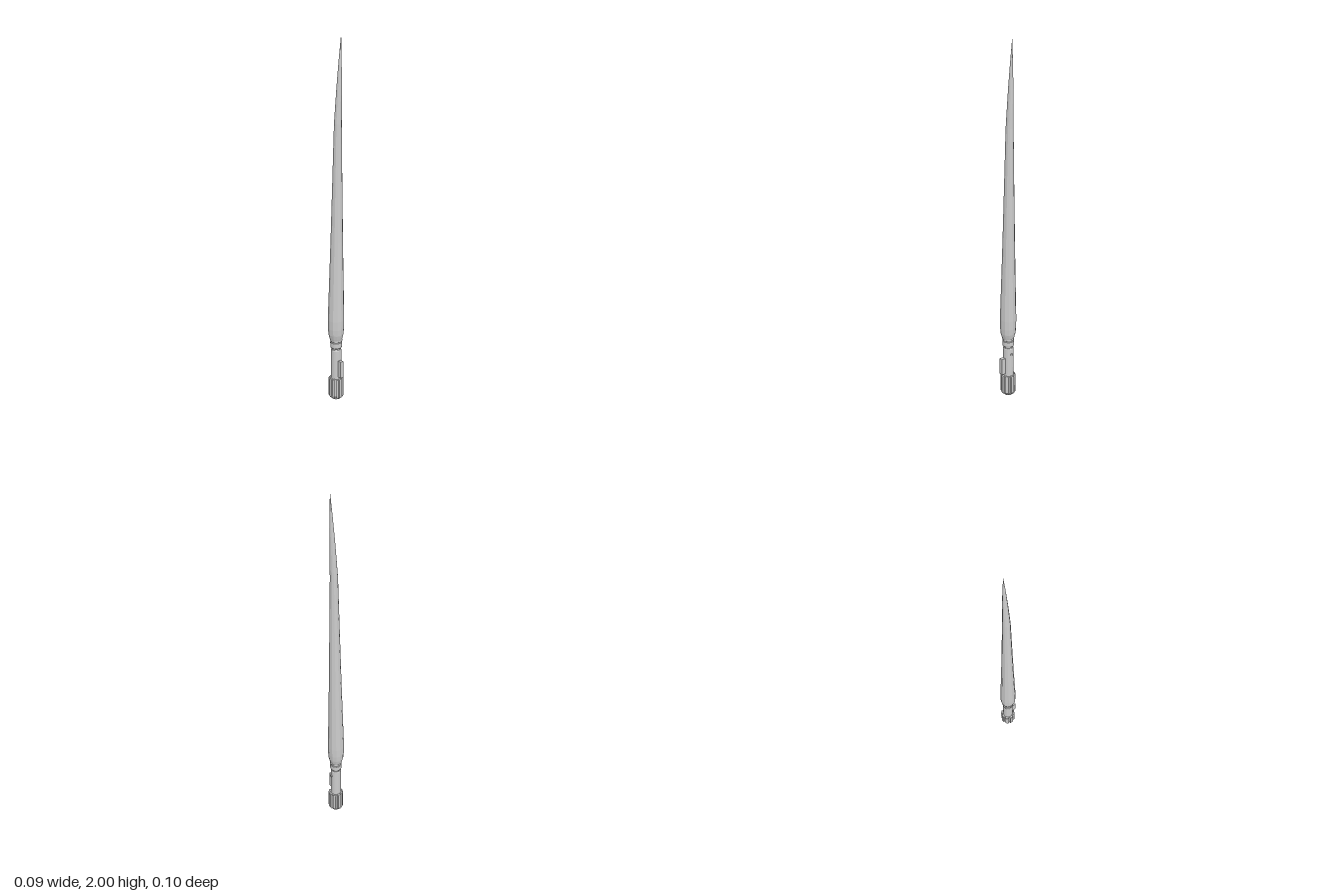
import * as THREE from 'three';

const SIDES = 12;
const CENTRE_Z = -0.004;

export function createModel() {
  const model = new THREE.Group();
  model.name = 'sword';
  const axis = new THREE.Group();
  axis.name = 'swordAxis';
  axis.position.z = CENTRE_Z;
  model.add(axis);

  const flat = new THREE.MeshStandardMaterial({ color: 0xcccccc, flatShading: true });

  const add = (name, geometry, x = 0, y = 0, z = 0, parent = axis) => {
    const mesh = new THREE.Mesh(geometry, flat);
    mesh.name = name;
    mesh.position.set(x, y, z);
    parent.add(mesh);
    return mesh;
  };
  const lathe = (points, sides = SIDES) =>
    new THREE.LatheGeometry(points.map(([r, y]) => new THREE.Vector2(r, y)), sides);

  // Blade: round sections that lean to +x, ending in a one-sided point
  const blade = lathe([
    [0, 0.352], [0.033, 0.352], [0.037, 0.365], [0.042, 0.385], [0.045, 0.42], [0.046, 0.47],
    [0.041, 0.65], [0.034, 0.92], [0.027, 1.24], [0.0205, 1.55],
    [0.018, 1.63], [0.0138, 1.75], [0.0075, 1.88], [0.0005, 2.0],
  ]);
  const pos = blade.attributes.position;
  for (let i = 0; i < pos.count; i++) {
    const y = pos.getY(i);
    const lower = Math.max(0, y - 0.47) / 1.08;
    const lean = y <= 1.55 ? lower * 0.0125 - 0.001
      : 0.0115 + ((y - 1.55) / 0.45) * 0.021;
    pos.setX(i, pos.getX(i) + lean);
  }
  blade.computeVertexNormals();
  add('blade', blade);

  // Collar between the handle and the blade
  add('collar', lathe([
    [0, 0.29], [0.024, 0.29], [0.024, 0.303], [0.031, 0.308], [0.033, 0.314],
    [0.033, 0.338], [0.029, 0.341], [0.029, 0.345], [0.034, 0.348], [0.034, 0.355], [0, 0.355],
  ], 16));

  // Handle tube with a chamfered foot
  add('handle', lathe([
    [0, 0], [0.024, 0], [0.031, 0.008], [0.034, 0.02], [0.034, 0.12], [0.03, 0.124],
    [0.03, 0.292], [0.027, 0.297], [0, 0.297],
  ], 16));

  // Raised ribs around the grip
  const profile = new THREE.Shape([
    [0.025, 0.01], [0.035, 0.01], [0.042, 0.022], [0.042, 0.122], [0.04, 0.125], [0.025, 0.125],
  ].map(([x, y]) => new THREE.Vector2(x, y)));
  const ribGeometry = new THREE.ExtrudeGeometry(profile, { depth: 0.018, bevelEnabled: false });
  ribGeometry.translate(0, 0, -0.009);
  const ribs = new THREE.Group();
  ribs.name = 'gripRibs';
  axis.add(ribs);
  for (let i = 0; i < 8; i++) {
    add('gripRib', ribGeometry, 0, 0, 0, ribs).rotation.y = (i * Math.PI) / 4;
  }

  // Control box on the front and a small button on the left side
  add('controlBox', new THREE.BoxGeometry(0.021, 0.096, 0.028), 0, 0.187, 0.038);
  add('sideButton', new THREE.CylinderGeometry(0.007, 0.007, 0.012, 10), 0.029, 0.26, 0)
    .rotation.z = -Math.PI / 2;

  return model;
}
